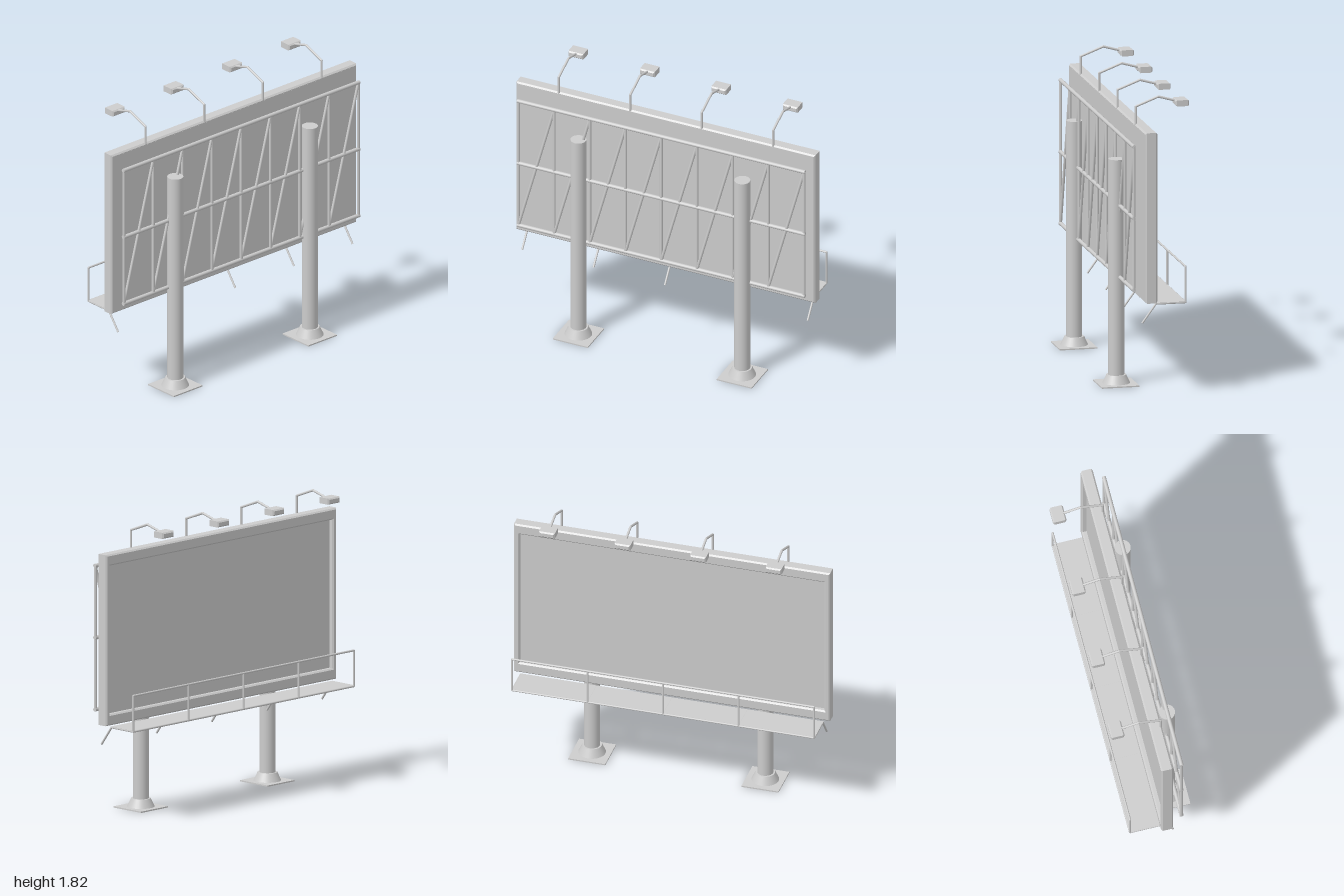
import * as THREE from 'three';

const steel = new THREE.MeshStandardMaterial({ color: 0xcccccc });
steel.name = 'grey steel';

function add(parent, geometry, name, x = 0, y = 0, z = 0) {
  const mesh = new THREE.Mesh(geometry, steel);
  mesh.name = name;
  mesh.position.set(x, y, z);
  parent.add(mesh);
  return mesh;
}

function group(parent, name) {
  const g = new THREE.Group();
  g.name = name;
  parent.add(g);
  return g;
}

// Round bar between two points
function bar(parent, a, b, radius, name) {
  const p = new THREE.Vector3(...a), q = new THREE.Vector3(...b);
  const d = q.clone().sub(p);
  const mesh = add(parent, new THREE.CylinderGeometry(radius, radius, d.length(), 10), name);
  mesh.position.copy(p).add(q).multiplyScalar(0.5);
  mesh.quaternion.setFromUnitVectors(new THREE.Vector3(0, 1, 0), d.normalize());
}

// Bent pipe: bars through the points, with ball joints at the bends
function pipe(parent, points, radius, name) {
  for (let i = 1; i < points.length; i++) {
    bar(parent, points[i - 1], points[i], radius, name);
    if (i < points.length - 1) add(parent, new THREE.SphereGeometry(radius, 10, 6), name + 'Joint', ...points[i]);
  }
}

function rect(w, h, Type = THREE.Shape) {
  return new Type([[-w, -h], [w, -h], [w, h], [-w, h]].map(([x, y]) => new THREE.Vector2(x / 2, y / 2)));
}

// Extrusion with chamfered edges, centred in depth
function chamfered(shape, depth, c) {
  const g = new THREE.ExtrudeGeometry(shape, {
    depth: depth - 2 * c, bevelEnabled: true, bevelSegments: 1,
    bevelSize: c, bevelThickness: c, bevelOffset: -c,
  });
  return g.translate(0, 0, c - depth / 2);
}

export function createModel() {
  const model = new THREE.Group();
  model.name = 'billboard';

  // Display board: chamfered frame with the sheet set back on the -z side
  const board = group(model, 'board');
  const border = rect(2, 1.06);
  border.holes.push(rect(1.93, 0.92, THREE.Path));
  add(board, chamfered(border, 0.075, 0.009), 'boardFrame', 0, 1.12, 0.0325);
  add(board, new THREE.BoxGeometry(1.975, 1.035, 0.045), 'displaySheet', 0, 1.12, 0.048);

  // Lattice of tubes behind the board
  const truss = group(model, 'truss');
  const tz = 0.132, low = 0.67, high = 1.56, bays = 8, half = 0.955;
  for (const y of [low, 1.115, high]) bar(truss, [-0.962, y, tz], [0.962, y, tz], 0.0125, 'trussRail');
  for (let i = 0; i <= bays; i++) {
    const x = -half + (2 * half * i) / bays;
    bar(truss, [x, low, tz], [x, high, tz], 0.0095, 'trussUpright');
    if (i < bays) bar(truss, [x, low, tz], [x + (2 * half) / bays, high, tz], 0.009, 'trussDiagonal');
  }

  // Two posts with flared collars on square base plates
  for (const x of [-0.548, 0.548]) {
    const post = group(model, 'post');
    post.position.set(x, 0, 0.145);
    add(post, new THREE.BoxGeometry(0.234, 0.008, 0.234), 'basePlate', 0, 0.004, 0);
    add(post, new THREE.CylinderGeometry(0.06, 0.084, 0.052, 32), 'collar', 0, 0.034, 0);
    add(post, new THREE.CylinderGeometry(0.049, 0.049, 1.39, 32), 'column', 0, 0.705, 0);
  }

  // Overhead lamps on bent arms
  for (const x of [-0.717, -0.239, 0.239, 0.717]) {
    const lamp = group(model, 'lamp');
    lamp.position.x = x;
    pipe(lamp, [[0, 1.64, 0.063], [0, 1.757, 0.063], [0, 1.811, -0.077], [0, 1.778, -0.195]], 0.0075, 'lampArm');
    add(lamp, chamfered(rect(0.1, 0.038), 0.084, 0.008), 'lampHead', 0, 1.772, -0.217);
  }

  // Service walkway with brackets, posts and handrail
  const walkway = group(model, 'walkway');
  const wz = -0.19, wy = 0.578;
  add(walkway, new THREE.BoxGeometry(1.92, 0.008, 0.19), 'deck', 0, wy + 0.002, -0.097);
  for (let i = 0; i <= 8; i++) {
    const x = -half + (2 * half * i) / 8;
    if (i % 2 === 0) {
      pipe(walkway, [[x, 0.462, 0.08], [x, wy, -0.005], [x, wy, wz], [x, 0.8, wz]], 0.0065, 'walkwayBracket');
    } else {
      bar(walkway, [x, wy - 0.002, -0.005], [x, wy - 0.002, wz], 0.004, 'deckJoist');
    }
  }
  bar(walkway, [-half, 0.8, wz], [half, 0.8, wz], 0.0065, 'handrail');
  bar(walkway, [-half, wy, wz], [half, wy, wz], 0.0065, 'deckEdge');
  for (const x of [-half, half]) add(walkway, new THREE.SphereGeometry(0.0065, 10, 6), 'handrailCorner', x, 0.8, wz);

  return model;
}
